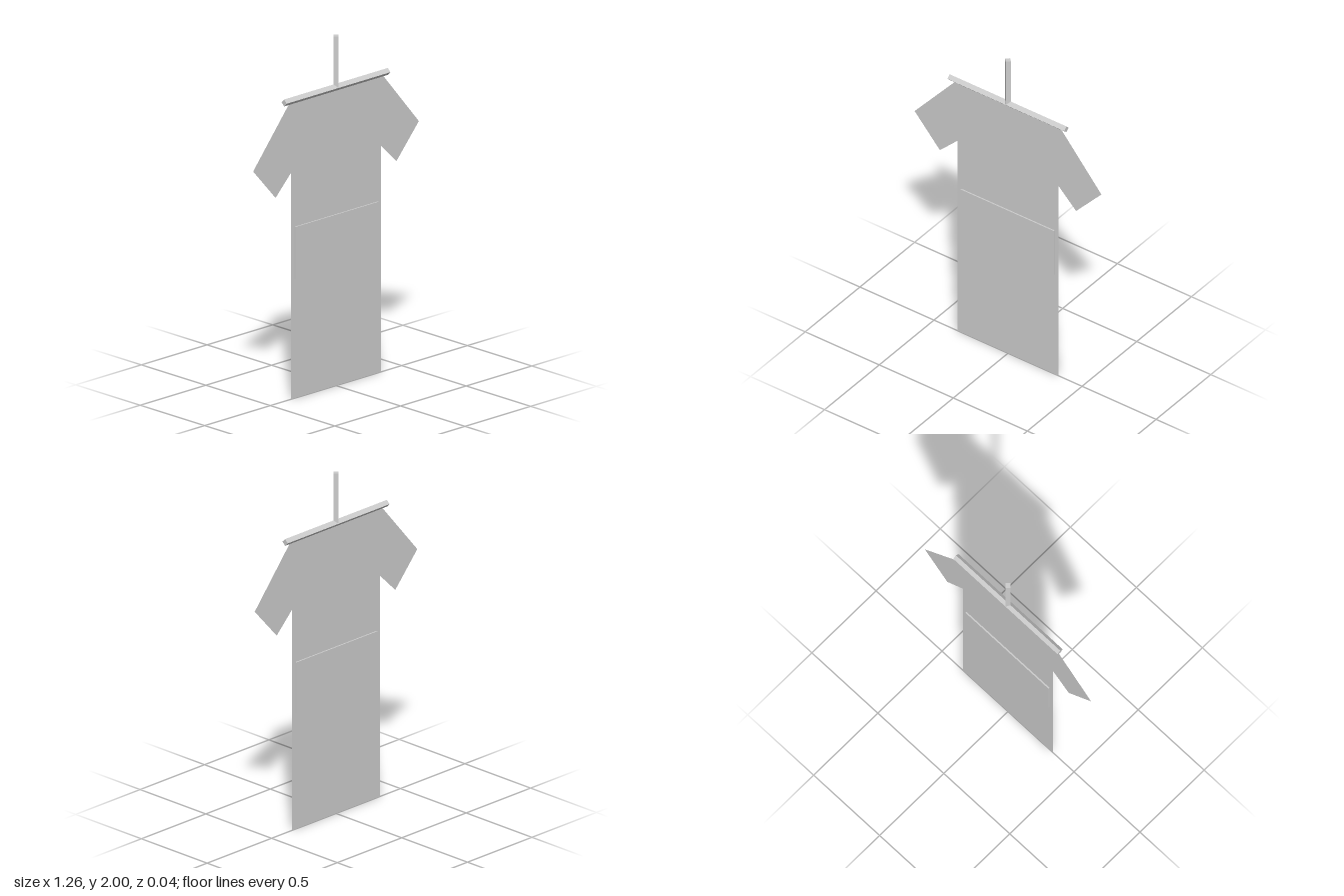
import * as THREE from 'three';

export function createModel() {
  const group = new THREE.Group();
  const grey = new THREE.MeshStandardMaterial({ color: 0xcccccc, flatShading: true });
  grey.name = 'grey';
  const greyCloth = grey.clone();
  greyCloth.side = THREE.DoubleSide;
  greyCloth.name = 'grey cloth';

  const add = (name, geometry, material, y) => {
    const mesh = new THREE.Mesh(geometry, material);
    mesh.name = name;
    mesh.position.y = y;
    group.add(mesh);
    return mesh;
  };

  // Flat T-shaped cloth: one half outline, mirrored
  const half = [[0.342, 0], [0.342, 1.294], [0.46, 1.177], [0.631, 1.367], [0.345, 1.705]];
  const outline = [...half, ...half.map(([x, y]) => [-x, y]).reverse()];
  const shape = new THREE.Shape(outline.map(([x, y]) => new THREE.Vector2(x, y)));
  add('cloth', new THREE.ShapeGeometry(shape), greyCloth, 0);

  // Thin panel across the middle of the cloth
  add('panel', new THREE.BoxGeometry(0.63, 0.298, 0.016), grey, 0.831);

  // Four-sided rods: crossbar and upright
  const rod = (length) => new THREE.CylinderGeometry(0.02, 0.02, length, 4);
  add('crossbar', rod(0.79), grey, 1.705).rotation.z = Math.PI / 2;
  add('upright', rod(0.295), grey, 1.8525);

  return group;
}
